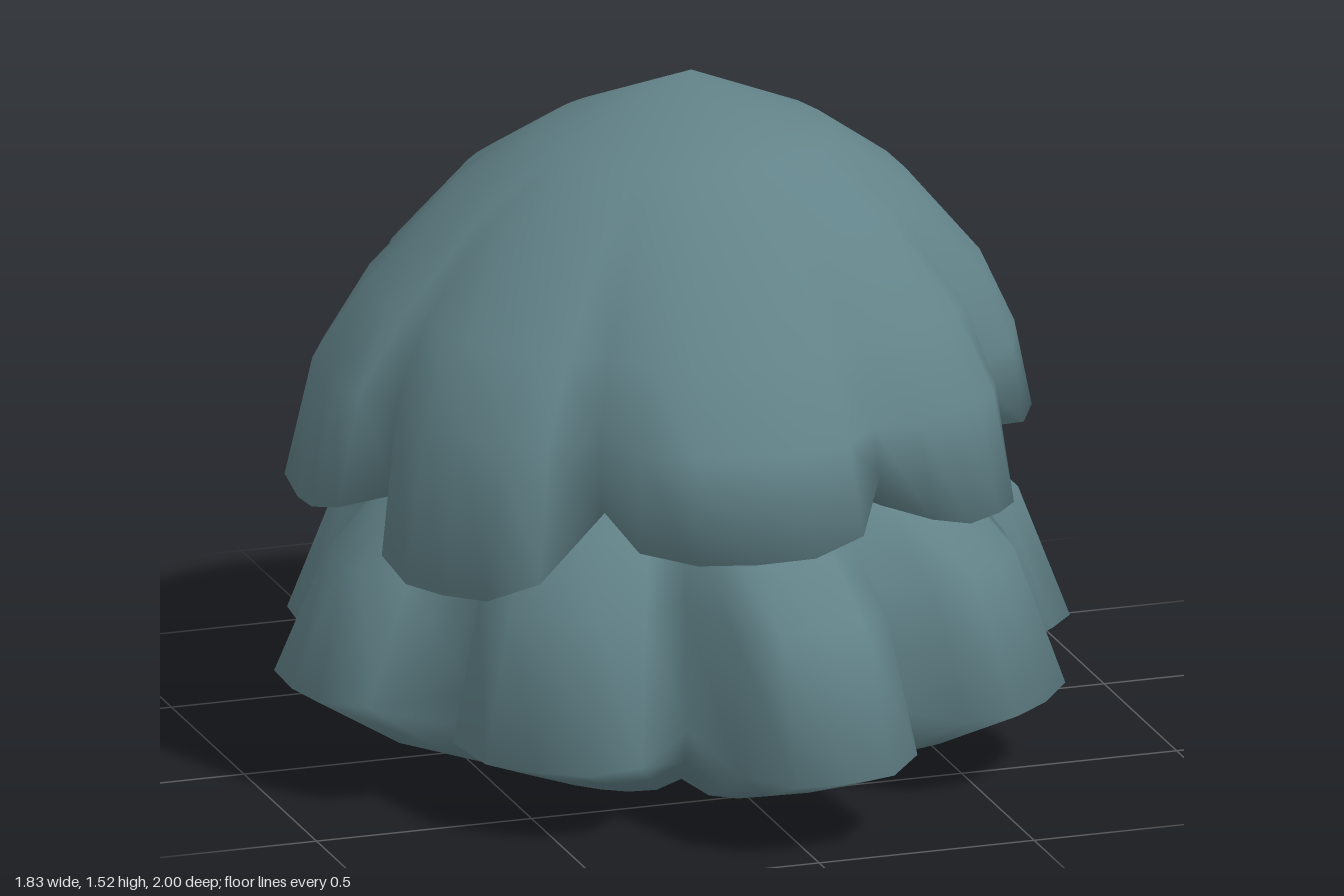
import * as THREE from 'three';
import { mergeVertices } from 'three/addons/utils/BufferGeometryUtils.js';

const STEPS = 3; // samples between a valley and the next lobe tip

// Rim samples from alternating valley / lobe tip entries [degrees, radius, height]
function sampleRim(points) {
  const rim = [];
  points.forEach((p, i) => {
    const q = points[(i + 1) % points.length];
    const span = (q[0] - p[0] + 360) % 360;
    for (let k = 0; k < STEPS; k++) {
      const t = k / STEPS;
      const rising = i % 2 === 0;
      const s = rising ? t : 1 - t; // 0 in the valley, 1 at the tip
      const e = 1 - (1 - s) ** 3.5;
      const [valley, tip] = rising ? [p, q] : [q, p];
      rim.push({
        angle: THREE.MathUtils.degToRad(p[0] + span * t),
        r: THREE.MathUtils.lerp(valley[1], tip[1], e),
        y: THREE.MathUtils.lerp(valley[2], tip[2], e),
      });
    }
  });
  return rim;
}

// Loft rings: [radius fraction, height, lobing 0..1, follow rim height 0..1, x shift]
function loft(rim, meanRadius, rings) {
  const n = rim.length, pos = [], index = [];
  rings.forEach(([f, y, lobing, follow, shift = 0]) => {
    for (const s of rim) {
      const r = f * THREE.MathUtils.lerp(meanRadius, s.r, lobing);
      pos.push(shift + r * Math.cos(s.angle), THREE.MathUtils.lerp(y, s.y, follow), r * Math.sin(s.angle));
    }
  });
  for (let i = 0; i < rings.length - 1; i++) {
    for (let j = 0; j < n; j++) {
      const a = i * n + j, b = i * n + (j + 1) % n;
      index.push(a, b, a + n, b, b + n, a + n);
    }
  }
  const geo = new THREE.BufferGeometry();
  geo.setAttribute('position', new THREE.Float32BufferAttribute(pos, 3));
  geo.setIndex(index);
  const merged = mergeVertices(geo, 1e-4);
  merged.computeVertexNormals();
  return merged;
}

export function createModel() {
  const group = new THREE.Group();
  const foliage = new THREE.MeshStandardMaterial({ color: 0x628389, side: THREE.DoubleSide });
  foliage.name = 'blue green foliage';
  const add = (name, geo) => {
    const mesh = new THREE.Mesh(geo, foliage);
    mesh.name = name;
    group.add(mesh);
  };

  // Upper crown: seven lobes, dome first and then the underside
  const crownRim = sampleRim([
    [-51, 0.63, 0.82], [-8, 0.81, 0.71],
    [35, 0.65, 0.82], [50, 0.84, 0.66],
    [72, 0.76, 0.8], [97, 0.92, 0.69],
    [122, 0.7, 0.75], [144, 0.88, 0.56],
    [165, 0.75, 0.72], [181, 0.87, 0.64],
    [212, 0.65, 0.8], [230, 0.79, 0.68],
    [246, 0.76, 0.76], [274, 0.8, 0.69],
  ]);
  add('crown', loft(crownRim, 0.81, [
    [0, 1.54, 0, 0, 0.04],
    [0.4, 1.4, 0, 0, 0.03],
    [0.62, 1.28, 0.05, 0, 0.02],
    [0.84, 1.08, 0.25, 0, 0.01],
    [0.95, 0.91, 0.65, 0],
    [1, 0.7, 1, 1],
    [0.8, 0.68, 0.9, 0.6],
    [0.5, 0.7, 0.5, 0],
  ]));

  // Lower skirt: eight lobes that tuck in at the base
  const skirtRim = sampleRim([
    [-70, 0.64, 0.24], [-44, 0.89, 0.2],
    [-28, 0.62, 0.24], [-6, 0.92, 0.19],
    [16, 0.62, 0.24], [43, 0.9, 0.2],
    [66, 0.64, 0.22], [86, 1, 0.19],
    [106, 0.64, 0.22], [129, 0.87, 0.18],
    [154, 0.62, 0.24], [175, 0.92, 0.23],
    [200, 0.62, 0.25], [227, 0.91, 0.2],
    [247, 0.64, 0.24], [268, 1, 0.24],
  ]);
  add('skirt', loft(skirtRim, 0.82, [
    [0.4, 0.8, 0, 0],
    [0.55, 0.74, 0.15, 0],
    [0.74, 0.655, 0.5, 0],
    [0.88, 0.5, 0.88, 0],
    [1, 0.2, 1, 1],
    [0.77, 0.1, 1, 0],
    [0.53, 0.015, 0.85, 0],
    [0.3, 0.03, 0.6, 0],
    [0, 0.05, 0, 0],
  ]));

  return group;
}
